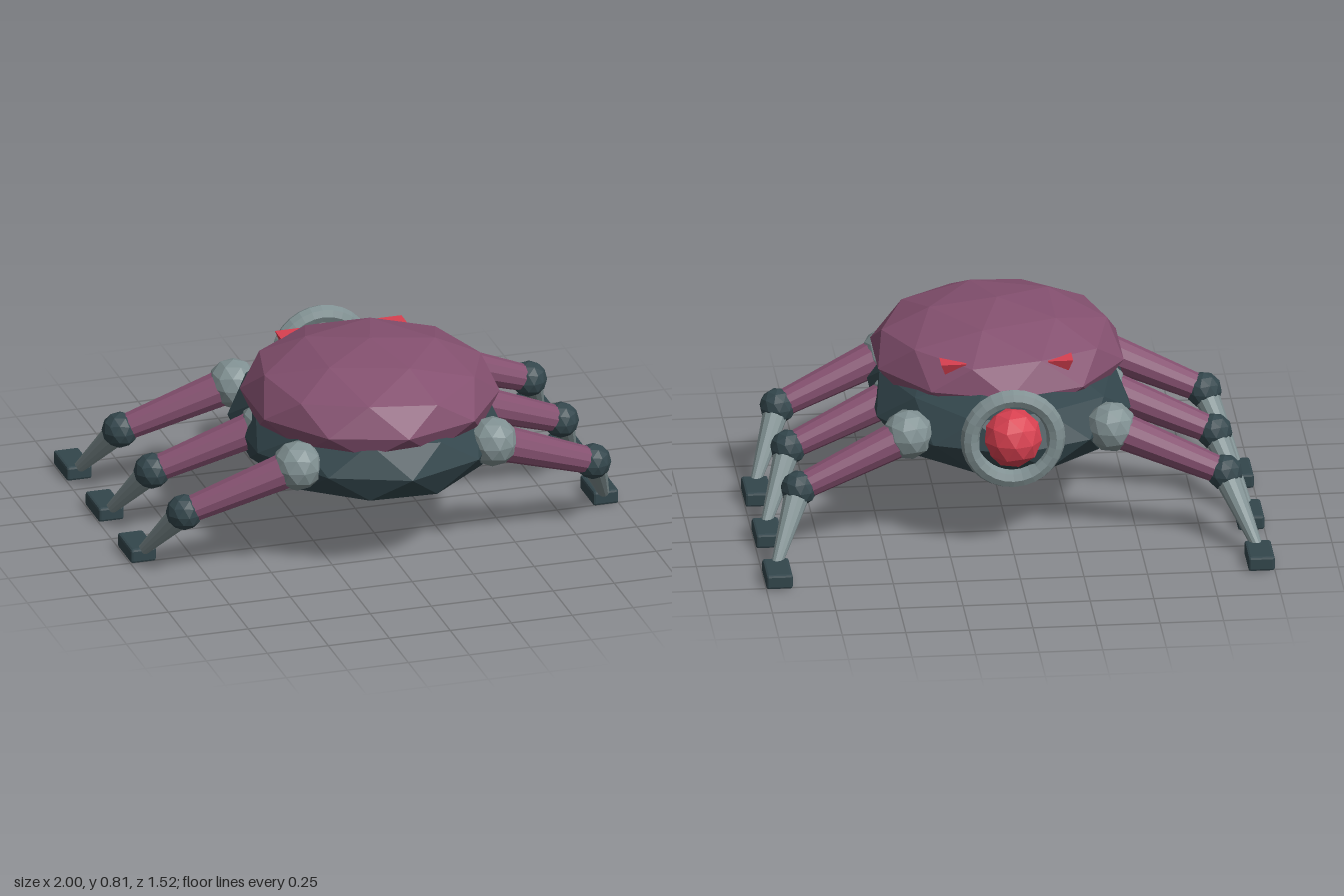
import * as THREE from 'three';
import { RoundedBoxGeometry } from 'three/addons/geometries/RoundedBoxGeometry.js';

const flat = (name, color) => {
  const m = new THREE.MeshStandardMaterial({ color, flatShading: true });
  m.name = name;
  return m;
};

// Faceted ball with a pole on +y and a ten-sided equator
function ball(rx, ry = rx, rz = rx) {
  return new THREE.IcosahedronGeometry(1, 1)
    .rotateX(-Math.atan((1 + Math.sqrt(5)) / 2))
    .rotateY(Math.PI / 2)
    .scale(rx, ry, rz);
}

export function createModel() {
  const purple = flat('purple', 0x84506f);
  const dark = flat('dark slate', 0x33464c);
  const grey = flat('grey metal', 0x809092);
  const red = flat('red', 0xd84050);
  const model = new THREE.Group();
  model.name = 'crawler';

  const add = (parent, name, geometry, material, x, y, z) => {
    const mesh = new THREE.Mesh(geometry, material);
    mesh.name = name;
    mesh.position.set(x, y, z);
    parent.add(mesh);
    return mesh;
  };

  // Tapered tube between two points
  const limb = (parent, name, material, a, b, ra, rb) => {
    const dir = b.clone().sub(a);
    const mid = a.clone().add(b).multiplyScalar(0.5);
    const geometry = new THREE.CylinderGeometry(rb, ra, dir.length(), 12);
    const mesh = add(parent, name, geometry, material, mid.x, mid.y, mid.z);
    mesh.quaternion.setFromUnitVectors(new THREE.Vector3(0, 1, 0), dir.normalize());
  };

  // Body and domed shell
  add(model, 'body', ball(0.525, 0.235, 0.64), dark, 0, 0.435, 0.118);
  add(model, 'shell', ball(0.508, 0.22, 0.52), purple, 0, 0.59, 0.19);

  // Large eye in its ring
  add(model, 'mainEye', ball(0.118), red, 0, 0.472, -0.438);
  add(model, 'eyeRing', new THREE.TorusGeometry(0.169, 0.037, 8, 28), grey, 0, 0.475, -0.453);

  // Small eyes sunk into the shell
  for (const side of [-1, 1]) {
    const geometry = new THREE.CylinderGeometry(0.07, 0.035, 0.07, 4).rotateY(Math.PI / 4);
    add(model, 'smallEye', geometry, red, side * 0.21, 0.665, -0.175);
  }

  // Three pairs of legs
  for (const side of [-1, 1]) {
    for (const z of [-0.322, 0.098, 0.522]) {
      const leg = new THREE.Group();
      leg.name = side > 0 ? 'leftLeg' : 'rightLeg';
      const hip = new THREE.Vector3(side * 0.4, 0.455, z);
      const knee = new THREE.Vector3(side * 0.838, 0.278, z - 0.084);
      const ankle = new THREE.Vector3(side * 0.945, 0.045, z - 0.285);
      add(leg, 'hip', ball(0.1), grey, ...hip.toArray());
      limb(leg, 'thigh', purple, hip, knee, 0.075, 0.052);
      add(leg, 'knee', ball(0.072), dark, ...knee.toArray());
      limb(leg, 'shin', grey, knee, ankle, 0.054, 0.022);
      add(leg, 'foot', new RoundedBoxGeometry(0.104, 0.06, 0.184, 1, 0.01), dark,
        side * 0.948, 0.032, z - 0.353);
      model.add(leg);
    }
  }
  return model;
}
